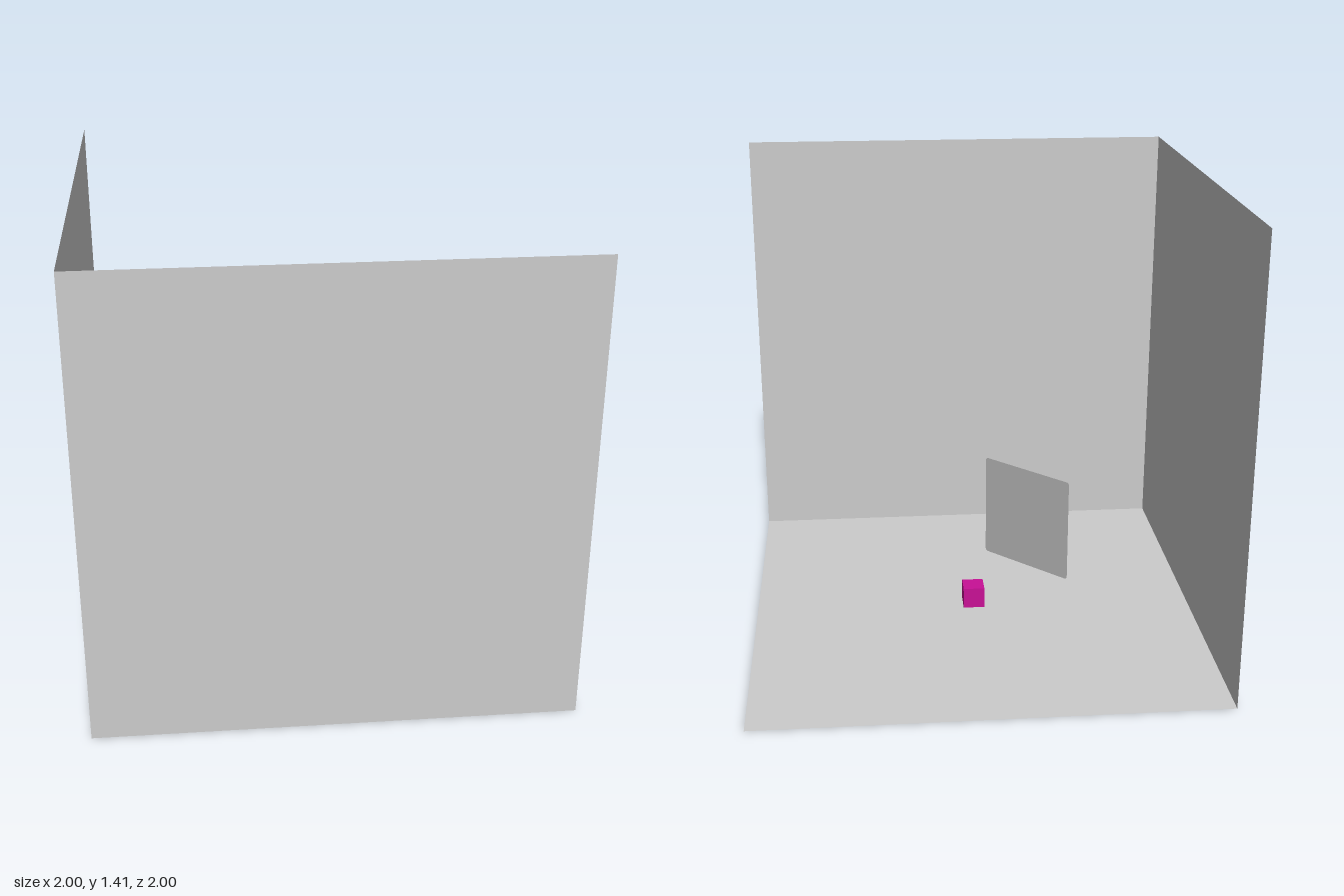
import * as THREE from 'three';

const SIDE = 1.414;
const HALF = SIDE / 2;

export function createModel() {
  const model = new THREE.Group();
  const flat = (name, color) => new THREE.MeshStandardMaterial({ name, color, side: THREE.DoubleSide });
  const wallGrey = flat('wall grey', 0xcccccc);
  const panelGrey = flat('panel grey', 0xb5b5b5);
  const magenta = new THREE.MeshStandardMaterial({ name: 'magenta', color: 0xc81096 });

  const add = (parent, name, geometry, material, x, y, z) => {
    const mesh = new THREE.Mesh(geometry, material);
    mesh.name = name;
    mesh.position.set(x, y, z);
    parent.add(mesh);
    return mesh;
  };

  // Open room corner, turned so that its corners point along the axes
  const room = new THREE.Group();
  room.name = 'room';
  room.rotation.y = THREE.MathUtils.degToRad(44.43);
  model.add(room);

  const square = new THREE.PlaneGeometry(SIDE, SIDE);
  add(room, 'floor', square, wallGrey, 0, 0, 0).rotation.x = -Math.PI / 2;
  add(room, 'backWall', square, wallGrey, 0, HALF, -HALF);
  add(room, 'sideWall', square, wallGrey, -HALF, HALF, 0).rotation.y = Math.PI / 2;

  // Small cube in the middle of the floor
  const cube = 0.068;
  add(room, 'cube', new THREE.BoxGeometry(cube, cube, cube), magenta, 0, cube / 2 + 0.002, 0);

  // Upright panel with slightly rounded corners, facing +x
  const h = 0.176, r = 0.01;
  const outline = new THREE.Shape();
  outline.absarc(h - r, h - r, r, 0, Math.PI / 2);
  outline.absarc(-h + r, h - r, r, Math.PI / 2, Math.PI);
  outline.absarc(-h + r, -h + r, r, Math.PI, Math.PI * 1.5);
  outline.absarc(h - r, -h + r, r, Math.PI * 1.5, Math.PI * 2);
  add(model, 'panel', new THREE.ShapeGeometry(outline, 4), panelGrey, -0.275, 0.214, -0.005)
    .rotation.y = Math.PI / 2;

  return model;
}
